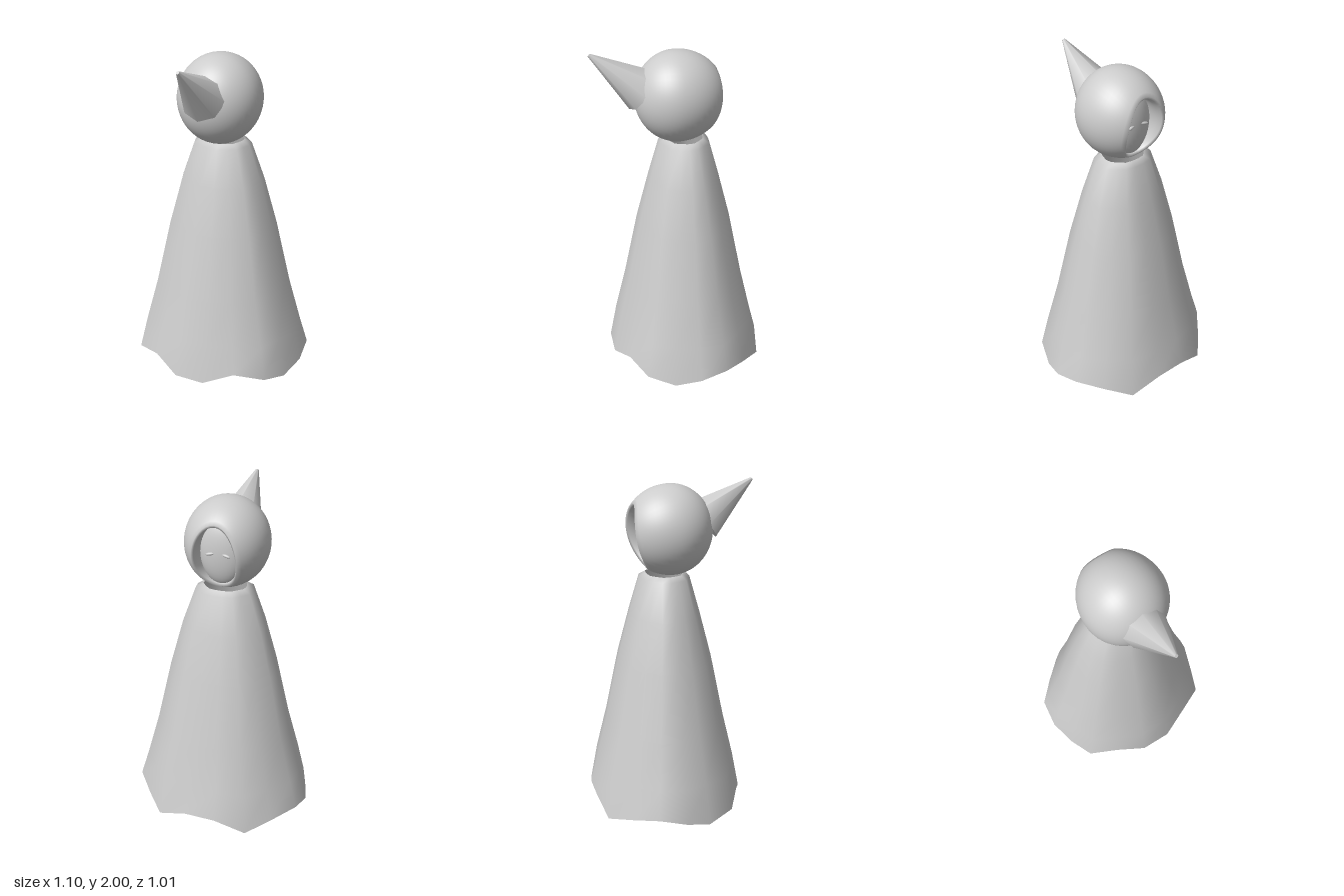
import * as THREE from 'three';

const grey = new THREE.MeshStandardMaterial({ color: 0xcccccc, side: THREE.DoubleSide });
grey.name = 'plainGrey';

// Smooth skin over a list of closed rings with equal point counts
function loft(rings) {
  const n = rings[0].length, pos = [], idx = [];
  rings.forEach(r => r.forEach(p => pos.push(...p)));
  for (let i = 0; i < rings.length - 1; i++) {
    for (let j = 0; j < n; j++) {
      const k = (j + 1) % n, a = i * n + j, b = i * n + k;
      idx.push(a, b, b + n, a, b + n, a + n);
    }
  }
  const g = new THREE.BufferGeometry();
  g.setAttribute('position', new THREE.Float32BufferAttribute(pos, 3));
  g.setIndex(idx);
  g.computeVertexNormals();
  return g;
}

// Robe: ragged hem, then the same outline scaled up to the neck
function robeGeometry() {
  const half = [
    [0.095, 0.02, 0.43], [0.27, 0.085, 0.355], [0.44, 0.05, 0.27], [0.505, 0.005, 0.11],
    [0.548, 0.05, -0.045], [0.53, 0.09, -0.21], [0.41, 0.05, -0.345], [0.285, 0.01, -0.47],
    [0.095, 0.08, -0.505],
  ];
  const hem = [...half, ...half.slice().reverse().map(([x, y, z]) => [-x, y, z])];
  // height, half width, half depth
  const levels = [
    [0.25, 0.5, 0.425], [0.53, 0.423, 0.36], [0.93, 0.333, 0.28],
    [1.22, 0.254, 0.207], [1.44, 0.175, 0.147], [1.463, 0.13, 0.11],
  ];
  const rings = levels.map(([y, w, d]) =>
    hem.map(([x, , z]) => [x * w / 0.548, y, -0.04 + (z + 0.04) * d / 0.468]));
  return loft([hem, ...rings]);
}

// Hood: egg shape with an oval opening at the back and a wall turned inward
function hoodGeometry() {
  const N = 48, M = 24, tilt = 0.2, c = Math.cos(tilt), s = Math.sin(tilt);
  const opening = a => 1 / Math.hypot(Math.cos(a) / 0.58, Math.sin(a) / 0.86);
  const point = (a, th) => {
    const x = Math.cos(a) * Math.sin(th), y = Math.sin(a) * Math.sin(th), z = -Math.cos(th);
    const ry = y * c + z * s, rz = z * c - y * s;
    return [x * 0.252, 1.72 + ry * 0.27, rz * (rz < 0 ? 0.285 : 0.25)];
  };
  const ring = f => Array.from({ length: N }, (_, j) => f(j / N * Math.PI * 2));
  const inner = (shrink, depth) => ring(a => {
    const [x, y, z] = point(a, opening(a));
    return [x * shrink, 1.685 + (y - 1.685) * shrink, z + depth];
  });
  const rings = [inner(0.9, 0.13), inner(0.9, 0.05), inner(0.92, 0.01)];
  for (let i = 0; i <= M; i++) {
    rings.push(ring(a => point(a, THREE.MathUtils.lerp(opening(a), Math.PI - 0.001, i / M))));
  }
  return loft(rings);
}

export function createModel() {
  const model = new THREE.Group();
  model.name = 'hoodedFigure';
  const add = (name, geometry) => {
    const mesh = new THREE.Mesh(geometry, grey);
    mesh.name = name;
    model.add(mesh);
    return mesh;
  };

  add('robe', robeGeometry());
  add('hood', hoodGeometry());

  // Pointed tail of the hood
  const point = add('hoodPoint', new THREE.CylinderGeometry(0.01, 0.136, 0.38, 8));
  point.position.set(0, 1.882, 0.348);
  point.rotation.x = 0.917;

  // Face set back inside the opening
  const face = add('face', new THREE.SphereGeometry(1, 32, 20));
  face.scale.set(0.135, 0.2, 0.07);
  face.position.set(0, 1.685, -0.1);

  // Narrow eyes, drooping at the outer ends
  for (const side of [1, -1]) {
    const eye = add(side > 0 ? 'leftEye' : 'rightEye', new THREE.SphereGeometry(1, 16, 8));
    eye.scale.set(0.03, 0.009, 0.01);
    eye.position.set(side * 0.047, 1.69, -0.165);
    eye.rotation.set(0, side * 0.2, -side * 0.18);
  }
  return model;
}
